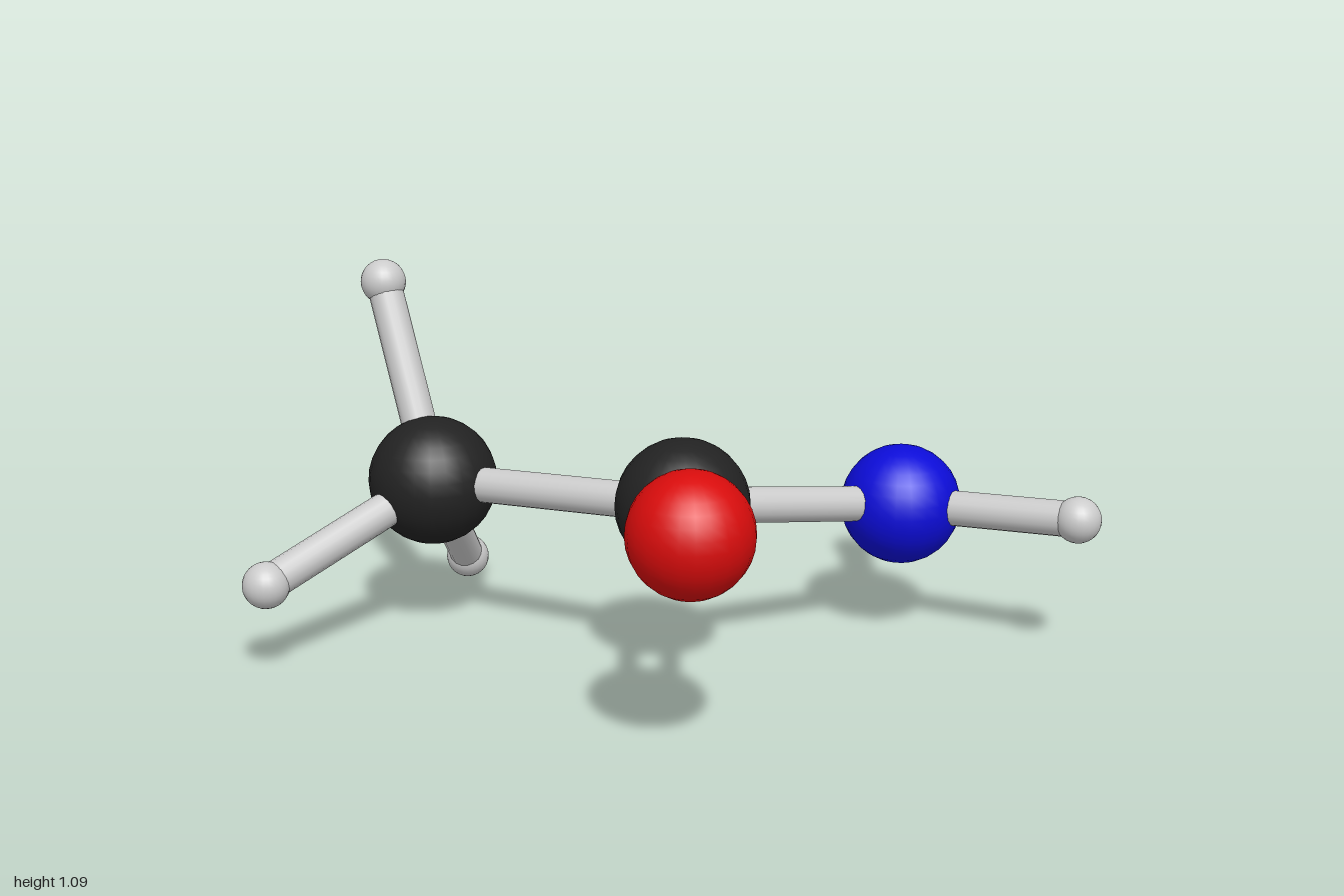
import * as THREE from 'three';

const V = (x, y, z) => new THREE.Vector3(x, y, z);

export function createModel() {
  const model = new THREE.Group();
  const paint = (color) => new THREE.MeshStandardMaterial({ color });
  const grey = paint(0xcccccc), black = paint(0x222222), red = paint(0xd80c0c), blue = paint(0x0c0cd8);

  // Atom centres, radii and materials
  const atoms = {
    methylCarbon: [V(-0.665, 0.467, 0.35), 0.19, black],
    carbonylCarbon: [V(0.156, 0.515, 0.173), 0.19, black],
    oxygen: [V(0.602, 0.653, 0.667), 0.164, red],
    nitrogen: [V(0.402, 0.4, -0.535), 0.177, blue],
    methylHydrogenTop: [V(-0.922, 1.02, 0.286), 0.067, grey],
    methylHydrogenBack: [V(-0.933, 0.067, -0.035), 0.067, grey],
    methylHydrogenFront: [V(-0.74, 0.277, 0.928), 0.067, grey],
    amineHydrogenBack: [V(0.04, 0.286, -0.931), 0.067, grey],
    amineHydrogenLeft: [V(0.933, 0.433, -0.648), 0.067, grey],
  };
  for (const [name, [position, radius, material]] of Object.entries(atoms)) {
    const atom = new THREE.Mesh(new THREE.SphereGeometry(radius, 24, 16), material);
    atom.name = name;
    atom.position.copy(position);
    model.add(atom);
  }
  const at = (name) => atoms[name][0];

  // Rod between two atoms, optionally shifted sideways
  function addBond(name, from, to, radius, shift = V(0, 0, 0)) {
    const a = at(from), b = at(to);
    const rod = new THREE.Mesh(new THREE.CylinderGeometry(radius, radius, a.distanceTo(b), 16), grey);
    rod.name = name;
    rod.position.copy(a).add(b).multiplyScalar(0.5).add(shift);
    rod.quaternion.setFromUnitVectors(V(0, 1, 0), b.clone().sub(a).normalize());
    model.add(rod);
  }

  // Single bonds
  const singles = [
    ['methylCarbon', 'carbonylCarbon'],
    ['carbonylCarbon', 'nitrogen'],
    ['methylCarbon', 'methylHydrogenTop'],
    ['methylCarbon', 'methylHydrogenBack'],
    ['methylCarbon', 'methylHydrogenFront'],
    ['nitrogen', 'amineHydrogenBack'],
    ['nitrogen', 'amineHydrogenLeft'],
  ];
  for (const [from, to] of singles) addBond('singleBond', from, to, 0.052);

  // Double bond: two thin rods side by side in the plane of the neighbours
  const centre = at('carbonylCarbon');
  const normal = at('methylCarbon').clone().sub(centre).cross(at('nitrogen').clone().sub(centre));
  const side = normal.cross(at('oxygen').clone().sub(centre)).normalize();
  for (const s of [-1, 1]) {
    addBond('doubleBondRod', 'carbonylCarbon', 'oxygen', 0.03, side.clone().multiplyScalar(s * 0.06));
  }
  return model;
}
